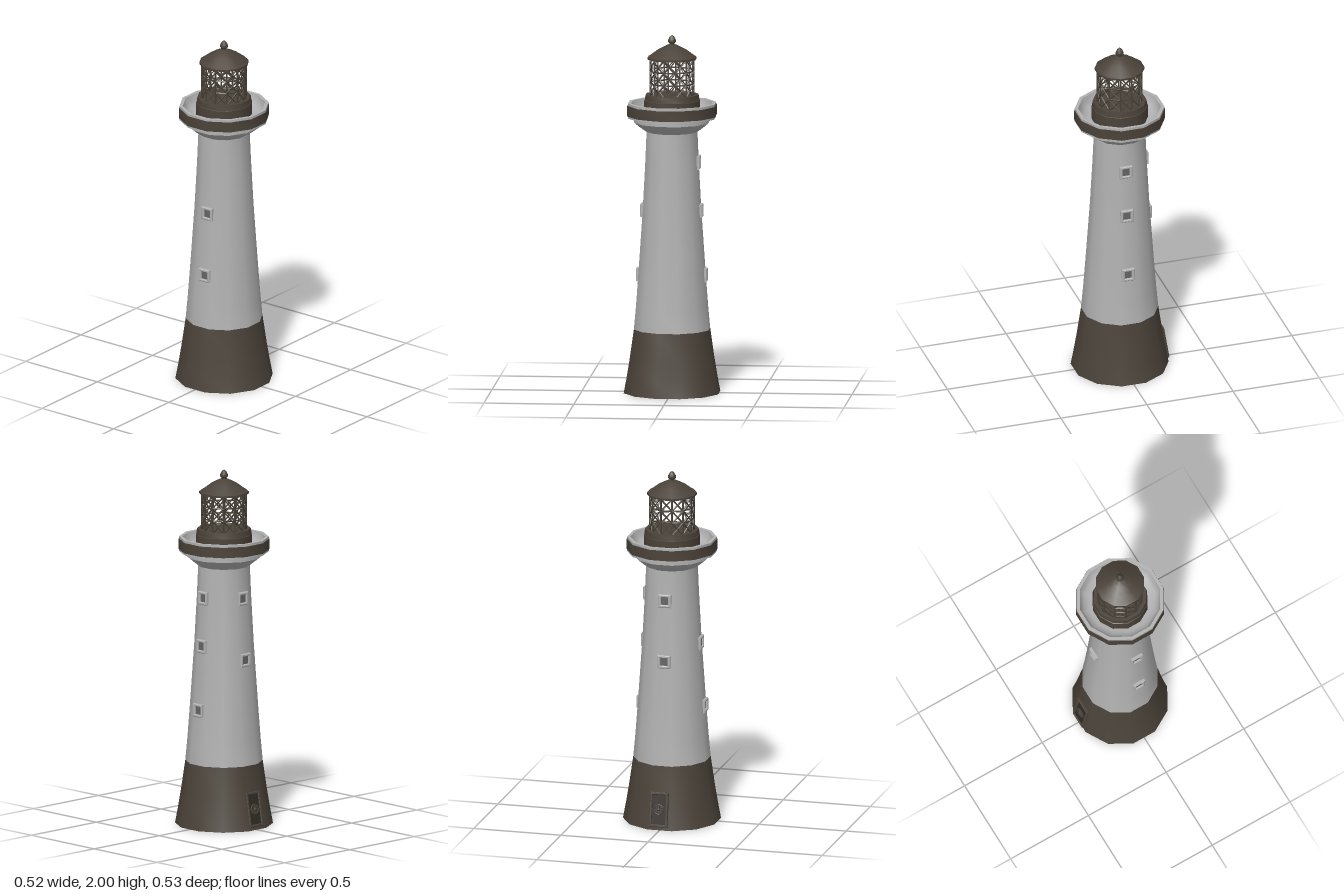
import * as THREE from 'three';
import { mergeGeometries, toCreasedNormals } from 'three/addons/utils/BufferGeometryUtils.js';

const SIDES = 12;
const STEP = (Math.PI * 2) / SIDES;
const FLAT = Math.cos(STEP / 2); // ratio of flat-side distance to corner radius

const paint = (name, color) => {
  const m = new THREE.MeshStandardMaterial({ color });
  m.name = name;
  return m;
};

export function createModel() {
  const white = paint('pale grey render', 0xb2b2b2);
  const dark = paint('dark brown', 0x4b433a);
  const black = paint('blackened iron', 0x2f2a25);
  const glass = paint('window grey', 0x666666);
  const model = new THREE.Group();
  model.name = 'lighthouse';

  const add = (name, geometry, material, parent = model) => {
    const mesh = new THREE.Mesh(geometry, material);
    mesh.name = name;
    parent.add(mesh);
    return mesh;
  };

  // Twelve-sided turned part; profile of [distance to flat side, height]
  const turned = (name, profile, material) => {
    const pts = profile.map(([r, y]) => new THREE.Vector2(r / FLAT, y));
    const lathe = new THREE.LatheGeometry(pts, SIDES, STEP / 2);
    return add(name, toCreasedNormals(lathe, 0.62), material);
  };

  // Flat frame with a rectangular opening
  const frame = (w, h, border, depth, bevel) => {
    const rect = (s, a, b) => s.moveTo(-a, -b).lineTo(a, -b).lineTo(a, b).lineTo(-a, b).lineTo(-a, -b);
    const shape = rect(new THREE.Shape(), w / 2 - bevel, h / 2 - bevel);
    shape.holes.push(rect(new THREE.Path(), w / 2 - border + bevel, h / 2 - border + bevel));
    return new THREE.ExtrudeGeometry(shape, {
      depth, bevelEnabled: true, bevelSize: bevel, bevelThickness: bevel, bevelSegments: 1,
    });
  };

  // Square bar between two points
  const bar = (a, b, t) => {
    const d = b.clone().sub(a);
    const g = new THREE.BoxGeometry(t, d.length(), t);
    g.applyQuaternion(new THREE.Quaternion().setFromUnitVectors(new THREE.Vector3(0, 1, 0), d.normalize()));
    return g.translate((a.x + b.x) / 2, (a.y + b.y) / 2, (a.z + b.z) / 2);
  };

  // Tower
  turned('towerBase', [[0, 0], [0.262, 0], [0.246, 0.09], [0.23, 0.19], [0.207, 0.355]], dark);
  const wall = [[0.207, 0.355], [0.196, 0.48], [0.183, 0.66], [0.159, 1.02], [0.145, 1.29], [0.138, 1.46]];
  turned('towerShaft', wall, white);
  turned('cornice', [[0.138, 1.46], [0.148, 1.467], [0.175, 1.487], [0.205, 1.513], [0.205, 1.537],
    [0.24, 1.537], [0.24, 1.55]], white);

  // Gallery: dark band under a pale rim that curves down to the floor
  turned('galleryBand', [[0.238, 1.549], [0.243, 1.549], [0.243, 1.607], [0.238, 1.607]], dark);
  turned('galleryBowl', [[0.24, 1.606], [0.24, 1.62], [0.222, 1.62], [0.214, 1.59], [0.198, 1.568],
    [0.172, 1.557], [0.14, 1.555]], white);

  // Lantern
  turned('lanternBase', [[0.151, 1.55], [0.151, 1.635], [0.148, 1.637], [0.144, 1.667], [0.126, 1.667],
    [0.12, 1.66], [0, 1.66]], dark);
  const rows = 3, low = 1.66, high = 1.87;
  const corner = (i, k) => {
    const a = (i + 0.5) * STEP, r = 0.119 / FLAT;
    return new THREE.Vector3(Math.sin(a) * r, low + ((high - low) * k) / rows, Math.cos(a) * r);
  };
  const bars = [];
  for (let i = 0; i < SIDES; i++) {
    bars.push(bar(corner(i, 0), corner(i, rows), 0.007));
    for (let k = 0; k <= rows; k++) {
      bars.push(bar(corner(i, k), corner(i + 1, k), 0.006));
      if (k === rows) continue;
      bars.push(bar(corner(i, k), corner(i + 1, k + 1), 0.006));
      bars.push(bar(corner(i + 1, k), corner(i, k + 1), 0.006));
    }
  }
  add('lanternLattice', mergeGeometries(bars), dark);
  turned('lanternRoof', [[0, 1.868], [0.133, 1.864], [0.133, 1.875], [0.122, 1.882], [0.08, 1.914],
    [0.045, 1.934], [0.02, 1.946], [0, 1.948]], dark);
  turned('finial', [[0.012, 1.94], [0.013, 1.952], [0.021, 1.96], [0.021, 1.972], [0.013, 1.988], [0, 2]], dark);

  // Windows: [turn about the tower, height, distance of the wall]
  const windowFrame = frame(0.072, 0.074, 0.015, 0.022, 0.004);
  const pane = new THREE.BoxGeometry(0.05, 0.052, 0.006);
  const left = Math.PI / 2;
  [[left, 1.29, 0.145], [left, 1.02, 0.159], [left, 0.66, 0.183],
    [-left, 1.02, 0.159], [-left, 0.66, 0.183],
    [Math.PI, 1.29, 0.145], [Math.PI, 0.945, 0.164]].forEach(([turn, y, r]) => {
    const win = new THREE.Group();
    win.name = 'window';
    add('windowFrame', windowFrame, white, win).position.z = r - 0.012;
    add('windowPane', pane, glass, win).position.z = r + 0.001;
    win.position.set(0, y, Math.abs(turn) === left ? 0.01 : 0);
    win.rotation.y = turn;
    model.add(win);
  });

  // Door at the back, leaning with the wall
  const door = new THREE.Group();
  door.name = 'door';
  door.rotation.order = 'YXZ';
  door.rotation.set(-0.165, Math.PI, 0);
  door.position.set(0.007, 0.114, -0.243);
  add('doorFrame', frame(0.104, 0.195, 0.014, 0.014, 0.003), dark, door).position.z = -0.004;
  add('doorPanel', new THREE.BoxGeometry(0.08, 0.17, 0.008), black, door).position.z = 0.002;
  const ring = add('doorRing', new THREE.TorusGeometry(0.027, 0.004, 6, 16), dark, door);
  ring.position.z = 0.008;
  for (let i = 0; i < 4; i++) {
    const spoke = add('doorSpoke', new THREE.BoxGeometry(0.006, 0.054, 0.006), dark, door);
    spoke.position.z = 0.008;
    spoke.rotation.z = (i * Math.PI) / 4;
  }
  add('doorBoss', new THREE.SphereGeometry(0.008, 8, 6), dark, door).position.z = 0.01;
  model.add(door);

  return model;
}
